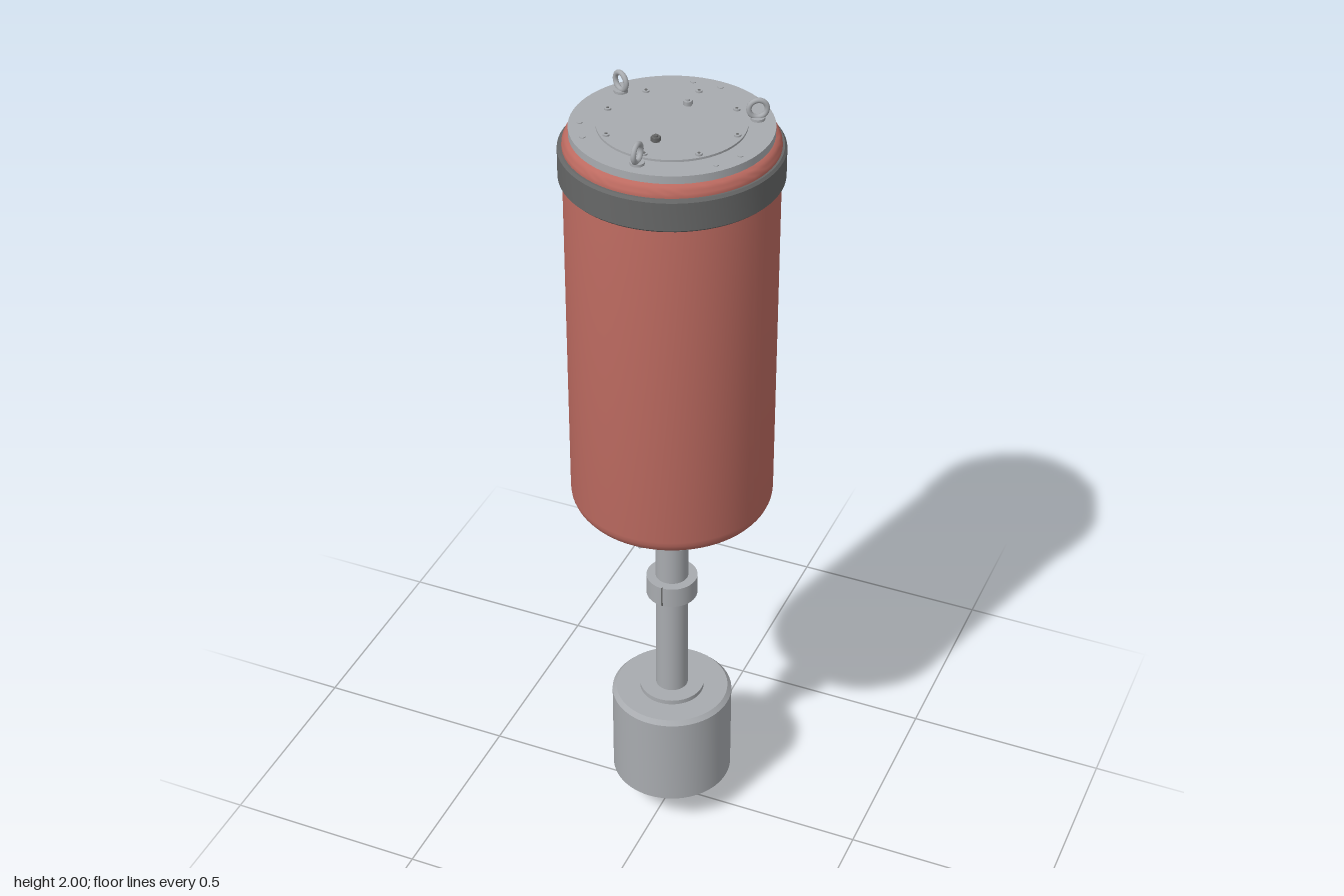
import * as THREE from 'three';
import { toCreasedNormals } from 'three/addons/utils/BufferGeometryUtils.js';

const material = (name, color) => {
  const m = new THREE.MeshStandardMaterial({ color });
  m.name = name;
  return m;
};

export function createModel() {
  const red = material('red', 0xbc6a60);
  const steel = material('steel grey', 0xa8abaf);
  const dark = material('dark rubber', 0x666767);
  const model = new THREE.Group();
  model.name = 'mooredBuoy';

  const add = (name, geometry, mat, x = 0, y = 0, z = 0, parent = model) => {
    const mesh = new THREE.Mesh(geometry, mat);
    mesh.name = name;
    mesh.position.set(x, y, z);
    parent.add(mesh);
    return mesh;
  };
  // Upright cylinder between two heights
  const disc = (name, r, y0, y1, mat, x = 0, z = 0, sides = 64, parent = model) =>
    add(name, new THREE.CylinderGeometry(r, r, y1 - y0, sides), mat, x, (y0 + y1) / 2, z, parent);
  // Turned solid, profile listed from the bottom up
  const turned = (name, points, mat) => add(name, toCreasedNormals(
    new THREE.LatheGeometry(points.map(([r, y]) => new THREE.Vector2(r, y)), 72), 0.6), mat);
  // Quarter-round corner points
  const corner = (r, y, rad, from, n = 6) => Array.from({ length: n + 1 }, (_, i) => {
    const a = from + (i / n) * Math.PI / 2;
    return [r + rad * Math.cos(a), y + rad * Math.sin(a)];
  });

  // Float body with rounded ends and its fender band
  turned('floatBody', [
    [0, 0.948], ...corner(0.198, 0.99, 0.042, -Math.PI / 2),
    ...corner(0.212, 1.905, 0.028, 0), [0, 1.933],
  ], red);
  turned('fenderBand', [
    [0.237, 1.825], [0.245, 1.825], [0.25, 1.83], [0.25, 1.897], [0.245, 1.903], [0.237, 1.903],
  ], dark);

  // Top plate, access cover and their fasteners
  disc('topPlate', 0.225, 1.925, 1.948, steel);
  disc('accessCover', 0.165, 1.948, 1.953, steel);
  for (let i = 0; i < 8; i++) {
    const a = i * Math.PI / 4, x = 0.152 * Math.sin(a), z = 0.152 * Math.cos(a);
    disc('coverScrew', 0.008, 1.953, 1.957, steel, x, z, 20);
    disc('screwSocket', 0.0035, 1.957, 1.958, dark, x, z, 6);
  }
  for (const base of [Math.PI, Math.PI / 3, -Math.PI / 3]) {
    for (const off of [-0.165, 0.165]) {
      const a = base + off;
      disc('platePin', 0.0065, 1.948, 1.95, steel, 0.2 * Math.sin(a), 0.2 * Math.cos(a), 20);
    }
  }
  for (const [z, mat] of [[-0.088, steel], [0.088, dark]]) {
    disc('hexFitting', 0.011, 1.953, 1.963, mat, 0, z, 6);
    disc('fittingTip', 0.005, 1.963, 1.967, mat, 0, z, 16);
  }

  // Three lifting eyes in radial planes, with nuts under the float
  for (let i = 0; i < 3; i++) {
    const a = i * Math.PI * 2 / 3;
    const eye = new THREE.Group();
    eye.name = 'liftingEye';
    eye.position.set(0.187 * Math.sin(a), 0, 0.187 * Math.cos(a));
    eye.rotation.y = a;
    model.add(eye);
    disc('eyeBase', 0.016, 1.948, 1.954, steel, 0, 0, 28, eye);
    const ring = add('eyeRing', new THREE.TorusGeometry(0.02, 0.006, 12, 36), steel, 0, 1.974, 0, eye);
    ring.rotation.y = Math.PI / 2;
    disc('rodNut', 0.012, 0.929, 0.938, steel, 0.187 * Math.sin(a) * 0.98, 0.187 * Math.cos(a) * 0.98, 6);
  }

  // Bottom plate and bolted flange
  disc('bottomPlate', 0.2, 0.938, 0.952, steel);
  disc('shaftFlange', 0.095, 0.931, 0.938, steel);
  for (let i = 0; i < 6; i++) {
    const a = i * Math.PI / 3;
    disc('flangeBolt', 0.009, 0.923, 0.931, steel, 0.073 * Math.sin(a), 0.073 * Math.cos(a), 6);
  }

  // Shaft with clamp collar
  disc('shaft', 0.04, 0.35, 0.935, steel, 0, 0, 48);
  disc('clampCollar', 0.0625, 0.656, 0.71, steel, 0, 0, 48);
  for (const s of [-1, 1]) {
    add('collarSeam', new THREE.BoxGeometry(0.004, 0.054, 0.004), dark, 0, 0.683, s * 0.061);
  }

  // Counterweight with chamfered top edge
  turned('counterweight', [[0, 0.1], [0.15, 0.1], [0.15, 0.345], [0.14, 0.356], [0, 0.356]], steel);
  disc('weightWasher', 0.08, 0.356, 0.368, steel);

  // Mooring lug with a round hole
  const lug = new THREE.Shape();
  lug.moveTo(0.04, 0.105);
  lug.lineTo(-0.04, 0.105);
  lug.lineTo(-0.04, 0.04);
  lug.absarc(0, 0.04, 0.04, Math.PI, Math.PI * 2, false);
  lug.closePath();
  lug.holes.push(new THREE.Path().absarc(0, 0.045, 0.016, 0, Math.PI * 2, true));
  const lugGeometry = new THREE.ExtrudeGeometry(lug, { depth: 0.018, bevelEnabled: false, curveSegments: 24 });
  lugGeometry.translate(0, 0, -0.009);
  lugGeometry.rotateY(Math.PI / 2);
  add('mooringLug', toCreasedNormals(lugGeometry, 0.6), steel);

  return model;
}
